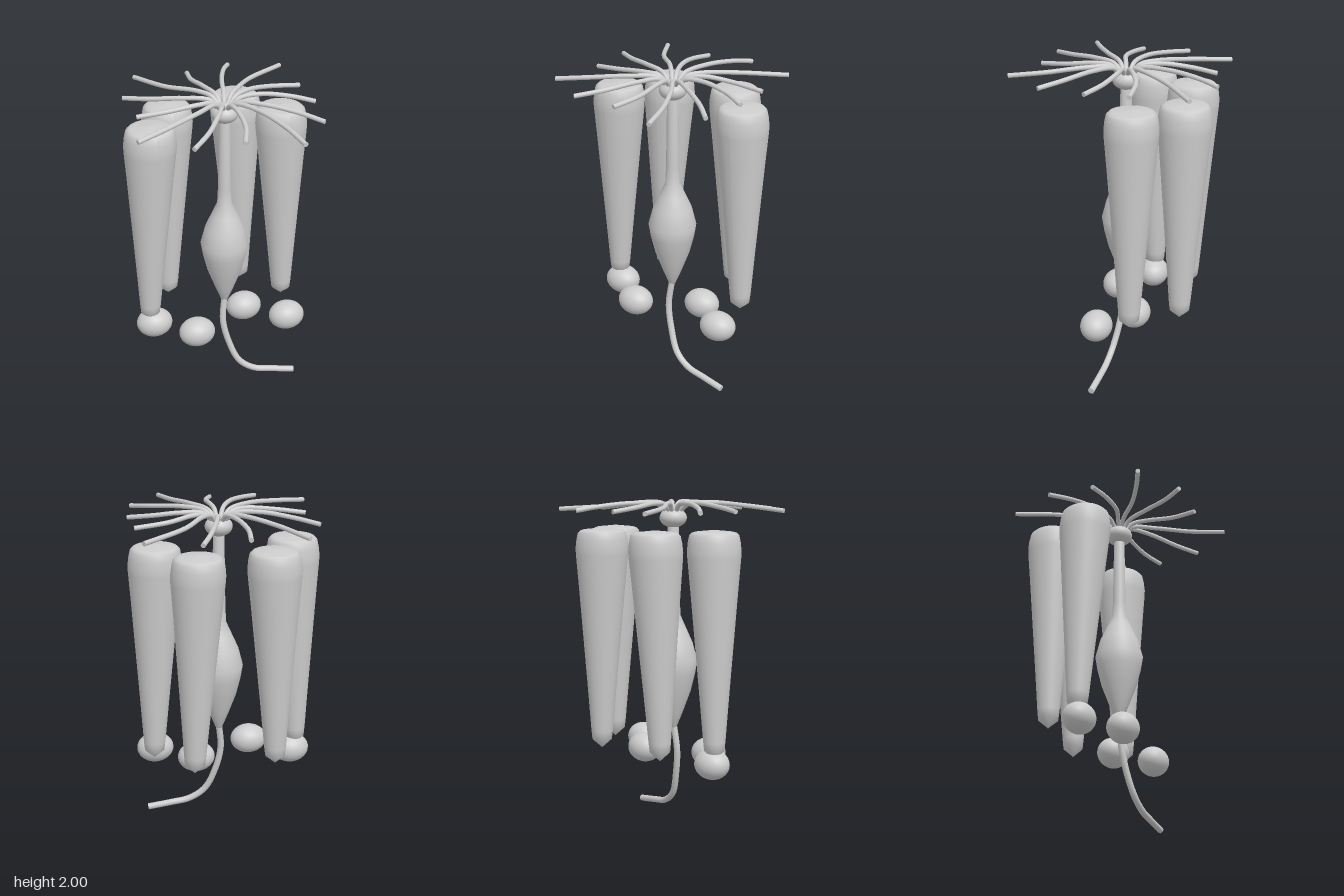
import * as THREE from 'three';

export function createModel() {
  const model = new THREE.Group();
  const grey = new THREE.MeshStandardMaterial({ color: 0xcccccc });
  grey.name = 'pale grey';
  const hub = new THREE.Vector3(0.025, 0, -0.037);

  const add = (geometry, name, parent = model) => {
    const mesh = new THREE.Mesh(geometry, grey);
    mesh.name = name;
    parent.add(mesh);
    return mesh;
  };
  const lathe = (profile, segments) =>
    new THREE.LatheGeometry(profile.map(([r, y]) => new THREE.Vector2(r, y)), segments);

  // Round strand along a smooth path, closed by a flat disc at its far end
  const strand = (points, radius, name, segments) => {
    const group = new THREE.Group();
    group.name = name;
    const curve = new THREE.CatmullRomCurve3(points.map((p) => new THREE.Vector3(...p)));
    add(new THREE.TubeGeometry(curve, segments, radius, 14), name + 'Tube', group);
    const cap = add(new THREE.CircleGeometry(radius, 14), name + 'End', group);
    cap.position.copy(curve.getPoint(1));
    cap.quaternion.setFromUnitVectors(new THREE.Vector3(0, 0, 1), curve.getTangent(1));
    model.add(group);
  };

  // Four tall tapering cells, leaning slightly: top x, z and bottom x, z
  const cells = [
    [-0.407, -0.112, -0.44, -0.135],
    [-0.22, -0.4, -0.245, -0.39],
    [0.228, -0.427, 0.258, -0.42],
    [0.427, -0.157, 0.455, -0.15],
  ];
  cells.forEach(([tx, tz, bx, bz]) => {
    const geometry = lathe([
      [0, 0.49], [0.06, 0.545], [0.066, 0.6], [0.09, 0.9], [0.115, 1.2], [0.14, 1.5],
      [0.156, 1.68], [0.158, 1.72], [0.153, 1.77], [0.145, 1.81], [0.13, 1.825],
      [0.11, 1.831], [0, 1.842],
    ], 40);
    const p = geometry.attributes.position;
    for (let i = 0; i < p.count; i++) {
      const t = (1.84 - p.getY(i)) / 1.35;
      p.setX(i, p.getX(i) + tx + (bx - tx) * t);
      p.setZ(i, p.getZ(i) + tz + (bz - tz) * t);
    }
    geometry.computeVertexNormals();
    add(geometry, 'taperedCell');
  });

  // Flattened round bodies below the cells
  [[-0.415, -0.13], [-0.19, 0.06], [0.19, -0.13], [0.415, 0.06]].forEach(([x, z]) => {
    const body = add(new THREE.SphereGeometry(1, 32, 20), 'lowerBody');
    body.scale.set(0.115, 0.092, 0.097);
    body.position.set(x, 0.458, z);
  });

  // Central spindle and stem
  const spindle = add(lathe([
    [0, 0.59], [0.02, 0.6], [0.06, 0.7], [0.108, 0.83], [0.135, 0.94], [0.148, 1.02],
    [0.12, 1.13], [0.08, 1.22], [0.045, 1.3], [0.04, 1.4], [0.034, 1.84], [0, 1.86],
  ], 32), 'spindle');
  spindle.position.copy(hub);

  // Knob on top of the stem
  const knob = add(new THREE.SphereGeometry(1, 32, 20), 'knob');
  knob.scale.set(0.083, 0.06, 0.083);
  knob.position.set(hub.x, 1.895, hub.z);

  // Tail curving out to the floor
  strand([
    [0.025, 0.62, -0.035], [0.01, 0.45, -0.02], [0.042, 0.29, 0], [0.105, 0.145, 0.03],
    [0.2, 0.075, 0.05], [0.32, 0.05, 0.065], [0.465, 0.025, 0.085],
  ], 0.02, 'tail', 48);

  // Spreading branches: two way points and the tip, each x, z
  const branches = [
    [-0.095, -0.195, -0.236, -0.355, -0.365, -0.605],
    [-0.035, -0.245, -0.06, -0.41, -0.04, -0.565],
    [0.1, -0.31, 0.18, -0.505, 0.24, -0.61],
    [0.15, -0.163, 0.28, -0.315, 0.545, -0.5],
    [0.2, -0.115, 0.345, -0.163, 0.545, -0.167],
    [0.245, -0.03, 0.415, 0.015, 0.545, 0.088],
    [0.215, 0.12, 0.375, 0.25, 0.485, 0.368],
    [0.15, 0.18, 0.23, 0.39, 0.272, 0.607],
    [0.037, 0.147, 0.025, 0.325, -0.035, 0.49],
    [-0.085, 0.18, -0.195, 0.342, -0.32, 0.468],
    [-0.195, 0.12, -0.405, 0.218, -0.585, 0.285],
    [-0.145, 0.003, -0.34, -0.003, -0.505, -0.035],
    [-0.21, -0.12, -0.375, -0.21, -0.51, -0.32],
  ];
  branches.forEach(([ax, az, bx, bz, cx, cz]) => {
    const dir = new THREE.Vector2(ax - hub.x, az - hub.z).normalize();
    const near = (r, y) => [hub.x + dir.x * r, y, hub.z + dir.y * r];
    strand([
      near(0.04, 1.93), near(0.09, 1.975), [ax, 1.985, az], [bx, 1.966, bz], [cx, 1.945, cz],
    ], 0.014, 'branch', 32);
  });

  return model;
}
